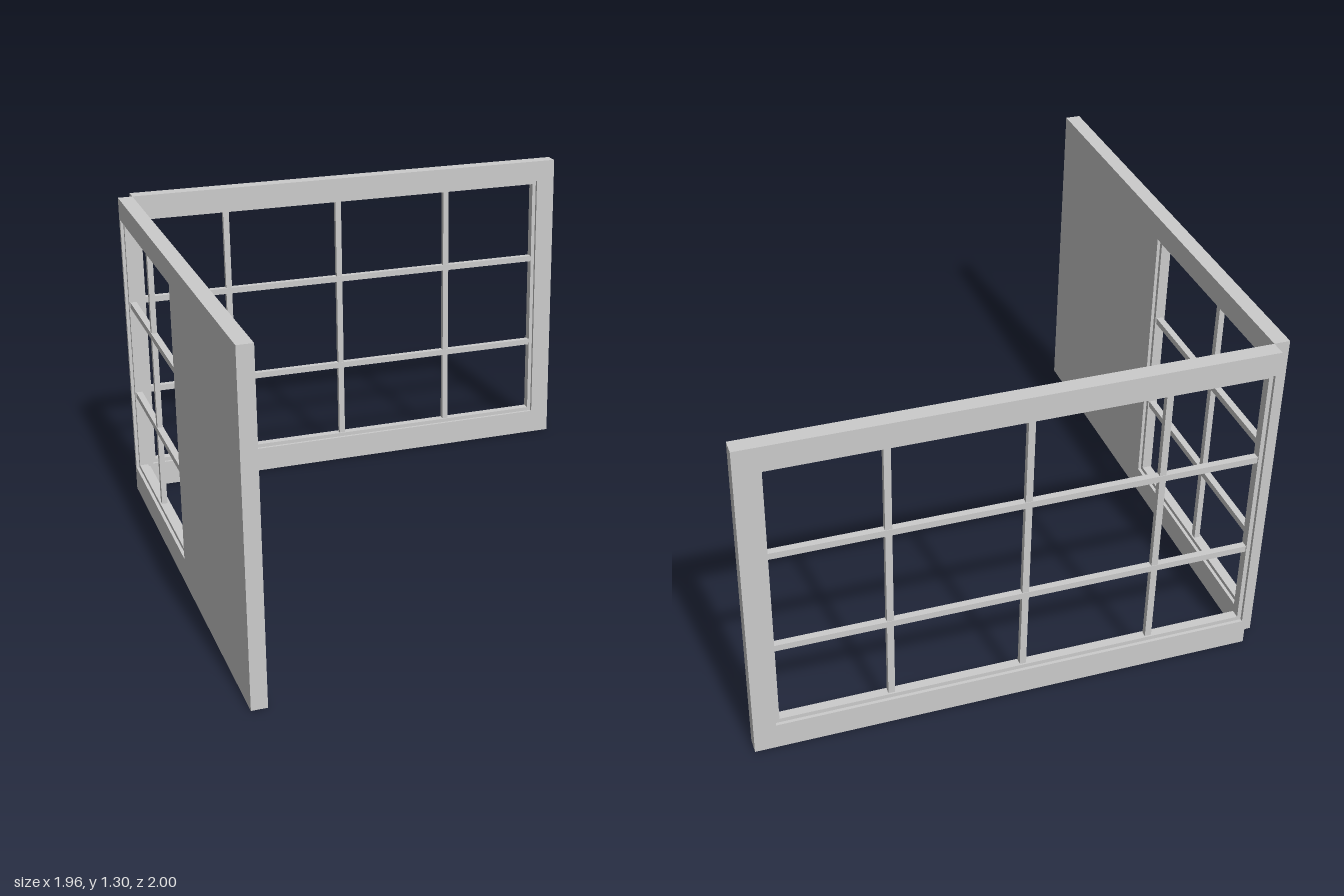
import * as THREE from 'three';

const material = new THREE.MeshStandardMaterial({ color: 0xcccccc });
const HEIGHT = 1.305, THICK = 0.06;
const SILL = 0.105, HEAD = 1.215; // bottom and top of both openings
const BAR = 0.025;

// Rectangle with a rectangular hole, extruded and centred on local z = 0
function pierced(name, [x0, y0, x1, y1], [hx0, hy0, hx1, hy1], depth) {
  const shape = new THREE.Shape();
  shape.moveTo(x0, y0).lineTo(x1, y0).lineTo(x1, y1).lineTo(x0, y1).closePath();
  const hole = new THREE.Path();
  hole.moveTo(hx0, hy0).lineTo(hx0, hy1).lineTo(hx1, hy1).lineTo(hx1, hy0).closePath();
  shape.holes.push(hole);
  const geometry = new THREE.ExtrudeGeometry(shape, { depth, bevelEnabled: false });
  geometry.translate(0, 0, -depth / 2);
  const mesh = new THREE.Mesh(geometry, material);
  mesh.name = name;
  return mesh;
}

function bar(name, w, h, d, x, y) {
  const mesh = new THREE.Mesh(new THREE.BoxGeometry(w, h, d), material);
  mesh.name = name;
  mesh.position.set(x, y, 0);
  return mesh;
}

// Thin frame with upright and crosswise glazing bars
function windowGrid(x0, x1, uprights) {
  const group = new THREE.Group();
  group.name = 'window';
  const f = 0.016;
  group.add(pierced('windowFrame', [x0, SILL, x1, HEAD],
    [x0 + f, SILL + f, x1 - f, HEAD - f], 0.035));
  const midY = (SILL + HEAD) / 2;
  for (const x of uprights) {
    group.add(bar('uprightBar', BAR, HEAD - SILL - 2 * f, 0.022, x, midY));
  }
  for (const y of [0.447, 0.85]) {
    group.add(bar('crossBar', x1 - x0 - 2 * f, BAR, 0.026, (x0 + x1) / 2, y));
  }
  return group;
}

function windowWall(name, start, end, x0, x1, uprights, thick) {
  const group = new THREE.Group();
  group.name = name;
  group.add(pierced('wallPanel', [start, 0, end, HEIGHT], [x0, SILL, x1, HEAD], thick));
  group.add(windowGrid(x0, x1, uprights));
  return group;
}

export function createModel() {
  const model = new THREE.Group();
  model.name = 'cornerWalls';

  // Wide window wall along the back
  const back = windowWall('backWall', -0.922, 0.982, -0.907, 0.9, [-0.527, -0.03, 0.47], THICK);
  back.position.z = -1 + THICK / 2;
  model.add(back);

  // Half-glazed wall along the side: local x runs along world z
  const side = windowWall('sideWall', -0.94, 1, -0.92, 0.016, [-0.49], THICK);
  side.rotation.y = -Math.PI / 2;
  side.position.x = -0.982 + THICK / 2;
  model.add(side);

  return model;
}
